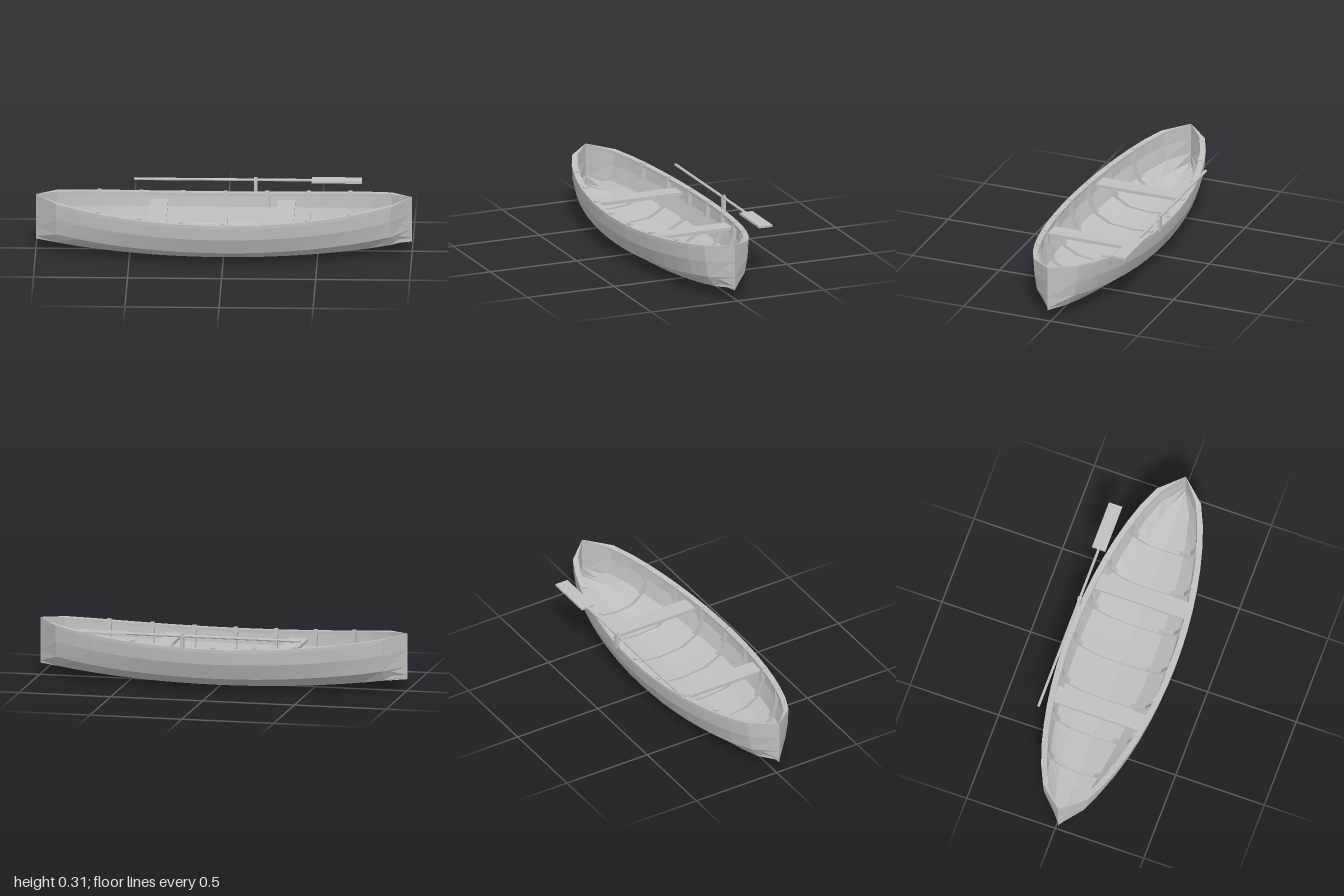
import * as THREE from 'three';

const gray = new THREE.MeshStandardMaterial({ color: 0xc0c0c0, flatShading: true, side: THREE.DoubleSide });
gray.name = 'light gray';

const CENTRE = 0.0166; // hull centreline in z; the oar overhangs the other side

// Half section amidships: [half width, height, rise towards the ends], keel to sheer
const PROFILE = [
  [0, 0.002, 0.06], [0.168, 0.02, 0.055], [0.257, 0.07, 0.063],
  [0.292, 0.153, 0.067], [0.302, 0.235, 0.074],
];

const fullness = (x) => Math.sqrt(Math.max(0, Math.cos(x * Math.PI / 2)));
const sheer = (x) => PROFILE[4][1] + PROFILE[4][2] * x * x;

// Full U section at x, from the -z sheer round the keel to the +z sheer
function section(x, inset, lift, topLift = 0) {
  const half = PROFILE.map(([w, y, rise], i) => [
    Math.max(0, w * fullness(x) - inset),
    y + rise * x * x + lift * (1 - i / 4) + (i === 4 ? topLift : 0),
  ]);
  const left = half.map(([w, y]) => [w, y]);
  const right = half.slice(1).reverse().map(([w, y]) => [-w, y]);
  return [...right, ...left];
}

// Joins closed rings of [z, y] points at the given x stations
function loft(name, xs, ringAt, capped = false) {
  const pos = [];
  const rings = xs.map((x) => ringAt(x).map(([z, y]) => [x, y, z + CENTRE]));
  const quad = (a, b, c, d) => pos.push(...a, ...b, ...c, ...a, ...c, ...d);
  const n = rings[0].length;
  for (let i = 0; i < rings.length - 1; i++) {
    for (let j = 0; j < n; j++) {
      const k = (j + 1) % n;
      quad(rings[i][j], rings[i + 1][j], rings[i + 1][k], rings[i][k]);
    }
  }
  if (capped) {
    const a = rings[0], b = rings[rings.length - 1];
    for (let j = 0; j < n / 2 - 1; j++) {
      quad(a[j], a[j + 1], a[n - 2 - j], a[n - 1 - j]);
      quad(b[n - 1 - j], b[n - 2 - j], b[j + 1], b[j]);
    }
  }
  const geo = new THREE.BufferGeometry();
  geo.setAttribute('position', new THREE.Float32BufferAttribute(pos, 3));
  geo.computeVertexNormals();
  const mesh = new THREE.Mesh(geo, gray);
  mesh.name = name;
  return mesh;
}

function box(name, w, h, d, x, y, z) {
  const mesh = new THREE.Mesh(new THREE.BoxGeometry(w, h, d), gray);
  mesh.position.set(x, y, z);
  mesh.name = name;
  return mesh;
}

export function createModel() {
  const boat = new THREE.Group();
  boat.name = 'rowingBoat';
  const stations = Array.from({ length: 19 }, (_, i) => -1 + i / 9);

  // Planked hull with an inner and outer skin
  boat.add(loft('hull', stations, (x) => [...section(x, 0, 0), ...section(x, 0.012, 0.012).reverse()]));

  // Gunwale rails along both sheer lines
  for (const side of [-1, 1]) {
    boat.add(loft(side > 0 ? 'frontGunwale' : 'backGunwale', stations, (x) => {
      const outer = PROFILE[4][0] * fullness(x);
      const zs = [side * outer, side * Math.max(0, outer - 0.032)].sort((a, b) => a - b);
      const top = sheer(x) + 0.001, low = top - 0.018;
      return [[zs[0], low], [zs[1], low], [zs[1], top], [zs[0], top]];
    }));
  }

  // Ribs following the inner skin, their heads just above the rail
  for (let i = -3; i <= 3; i++) {
    const x = i * 2 / 9;
    boat.add(loft('rib', [x - 0.011, x + 0.011], (s) => [
      ...section(s, 0.011, 0.011, 0.009), ...section(s, 0.036, 0.022, 0.009).reverse(),
    ], true));
  }

  // Two thwarts
  for (const x of [-0.352, 0.325]) boat.add(box('seat', 0.095, 0.018, 0.518, x, 0.195, CENTRE));

  // Oarlock: post with a two-pronged fork
  const oarZ = -0.281;
  const lock = new THREE.Group();
  lock.name = 'oarlock';
  lock.add(box('post', 0.018, 0.063, 0.02, 0.16, 0.2565, oarZ));
  for (const s of [-1, 1]) lock.add(box('prong', 0.018, 0.028, 0.0065, 0.16, 0.302, oarZ + s * 0.0068));
  boat.add(lock);

  // Oar lying lengthwise in the fork
  const oar = new THREE.Group();
  oar.name = 'oar';
  const shaft = new THREE.Mesh(new THREE.CylinderGeometry(0.0075, 0.0075, 0.945, 8), gray);
  shaft.rotation.z = Math.PI / 2;
  shaft.position.set(-0.0125, 0.303, oarZ);
  shaft.name = 'shaft';
  oar.add(shaft, box('blade', 0.267, 0.012, 0.075, 0.592, 0.303, oarZ));
  boat.add(oar);

  return boat;
}
